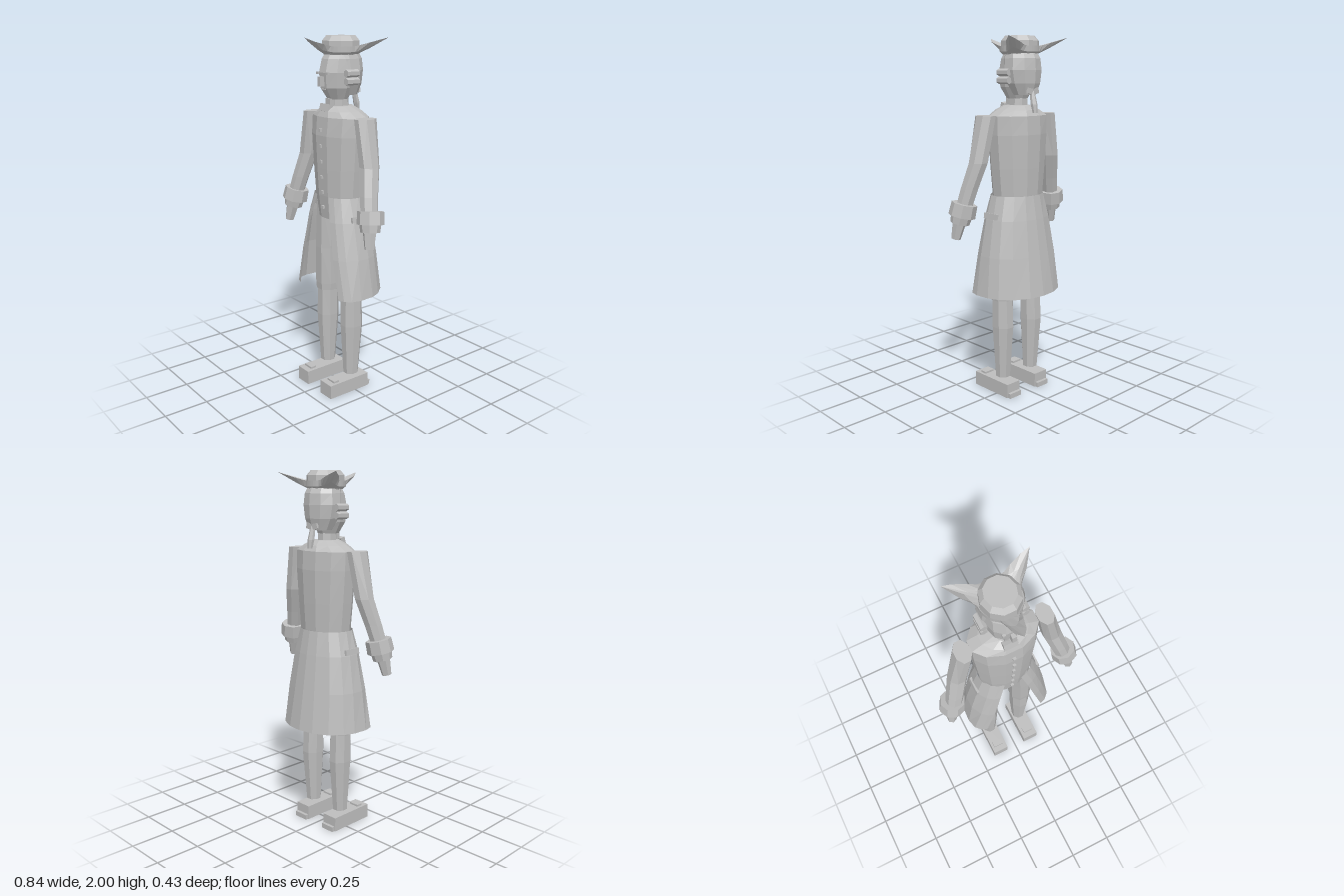
import * as THREE from 'three';

const grey = new THREE.MeshStandardMaterial({ color: 0xbdbdbd, flatShading: true, side: THREE.DoubleSide });
grey.name = 'plain grey';

function add(parent, name, geometry, x = 0, y = 0, z = 0) {
  const mesh = new THREE.Mesh(geometry, grey);
  mesh.name = name;
  mesh.position.set(x, y, z);
  parent.add(mesh);
  return mesh;
}

const box = (parent, name, w, h, d, x, y, z) => add(parent, name, new THREE.BoxGeometry(w, h, d), x, y, z);

// Skin a list of point rings, ordered bottom to top
function skin(rings, closed = true, caps = true) {
  const out = [], n = rings[0].length, m = closed ? n : n - 1;
  const tri = (a, b, c) => out.push(...a, ...b, ...c);
  for (let i = 0; i < rings.length - 1; i++) {
    for (let j = 0; j < m; j++) {
      const k = (j + 1) % n, lo = rings[i], hi = rings[i + 1];
      tri(lo[j], lo[k], hi[k]);
      tri(lo[j], hi[k], hi[j]);
    }
  }
  if (closed && caps) {
    const bottom = rings[0], top = rings[rings.length - 1];
    const mid = (r) => [0, 1, 2].map((a) => r.reduce((s, p) => s + p[a], 0) / n);
    for (let j = 0; j < n; j++) {
      const k = (j + 1) % n;
      tri(mid(top), top[j], top[k]);
      tri(mid(bottom), bottom[k], bottom[j]);
    }
  }
  const g = new THREE.BufferGeometry();
  g.setAttribute('position', new THREE.Float32BufferAttribute(out, 3));
  g.computeVertexNormals();
  return g;
}

// Elliptical sections: [y, radiusX, radiusZ, centreX, centreZ]
function loft(sections, sides, turn = 0) {
  return skin(sections.map(([y, rx, rz, cx = 0, cz = 0]) =>
    Array.from({ length: sides }, (_, i) => {
      const a = ((i + turn) / sides) * Math.PI * 2;
      return [cx + rx * Math.sin(a), y, cz + rz * Math.cos(a)];
    })));
}

function buildHead() {
  const head = new THREE.Group();
  head.name = 'head';
  head.position.x = -0.008;
  add(head, 'neck', loft([[1.58, 0.055, 0.055, 0, -0.01], [1.7, 0.05, 0.05, 0, -0.01]], 8, 0.5));
  add(head, 'face', loft([
    [1.67, 0.055, 0.06, 0, 0.0], [1.73, 0.085, 0.095, 0, 0.005], [1.81, 0.095, 0.108, 0, 0.0],
    [1.88, 0.09, 0.1, 0, -0.01], [1.925, 0.075, 0.08, 0, -0.02],
  ], 10, 0.5));
  add(head, 'hair', loft([
    [1.69, 0.065, 0.06, 0, -0.055], [1.75, 0.095, 0.09, 0, -0.045], [1.82, 0.108, 0.1, 0, -0.04],
    [1.88, 0.1, 0.1, 0, -0.035], [1.925, 0.085, 0.085, 0, -0.025],
  ], 10));
  box(head, 'nose', 0.022, 0.05, 0.03, 0, 1.765, 0.11);
  box(head, 'mouth', 0.035, 0.008, 0.01, 0, 1.725, 0.094);
  for (const s of [-1, 1]) {
    box(head, 'eye', 0.018, 0.012, 0.012, s * 0.042, 1.807, 0.1);
    // Rolled side curls
    for (const y of [1.808, 1.766]) {
      const curl = add(head, 'sideCurl', new THREE.CylinderGeometry(0.02, 0.02, 0.08, 6), s * 0.108, y, -0.01);
      curl.rotation.x = Math.PI / 2;
    }
    const bow = box(head, 'ponytailBow', 0.04, 0.03, 0.012, s * 0.02, 1.71, -0.118);
    bow.rotation.z = s * 0.2;
  }
  add(head, 'ponytail', loft([[1.595, 0.014, 0.012, 0, -0.136], [1.64, 0.02, 0.017, 0, -0.128],
    [1.73, 0.013, 0.012, 0, -0.108]], 6));
  return head;
}

// Three-cornered hat: faceted crown with a brim pinched into points
function buildHat() {
  const hat = new THREE.Group();
  hat.name = 'hat';
  hat.position.set(-0.008, 0, -0.02);
  add(hat, 'hatCrown', loft([[1.9, 0.092, 0.095], [1.915, 0.1, 0.105], [1.972, 0.1, 0.105], [1.998, 0.078, 0.082]], 10, 0.5));
  const tips = [0, 2.15, -2.15];
  const inner = [], middle = [], rim = [];
  const N = 42;
  const angles = Array.from({ length: N }, (_, i) => (i / N) * Math.PI * 2 - Math.PI);
  // Snap the nearest rim step onto each point
  for (const t of tips) {
    let best = 0;
    angles.forEach((a, i) => { if (Math.abs(a - t) < Math.abs(angles[best] - t)) best = i; });
    angles[best] = t;
  }
  for (const a of angles) {
    const d = Math.min(...tips.map((t) => Math.abs(a - t)));
    const k = Math.max(0, 1 - d / 0.5) ** 1.6;
    const reach = a === 0 ? 0.123 : 0.152;
    const at = (r, y) => [r * Math.sin(a), y, r * Math.cos(a)];
    inner.push(at(0.092, 1.903));
    middle.push(at(0.108 + 0.35 * reach * k, 1.915 + 0.02 * k));
    rim.push(at(0.11 + reach * k, 1.945 + 0.045 * k));
  }
  add(hat, 'hatBrim', skin([inner, middle, rim], true, false));
  return hat;
}

function buildCoat() {
  const coat = new THREE.Group();
  coat.name = 'coat';
  add(coat, 'coatBody', loft([
    [1.02, 0.135, 0.105, 0, -0.008], [1.15, 0.155, 0.12, 0, -0.01], [1.3, 0.17, 0.127, 0, -0.01],
    [1.48, 0.185, 0.133, 0, -0.01], [1.58, 0.188, 0.125, 0, -0.012],
    [1.61, 0.13, 0.108, 0, -0.008], [1.635, 0.065, 0.075, 0, -0.005],
  ], 12, 0.5));
  const cravat = box(coat, 'cravat', 0.075, 0.04, 0.03, -0.008, 1.625, 0.08);
  cravat.rotation.x = -0.3;
  box(coat, 'cravatKnot', 0.04, 0.05, 0.025, -0.008, 1.65, 0.055);
  for (let i = 0; i < 6; i++) box(coat, 'button', 0.017, 0.017, 0.02, -0.003, 1.085 + i * 0.085, 0.103 + Math.min(i, 4) * 0.004);

  // Flared skirt, open at the front; half outlines run from front edge to back middle
  const outline = (half, y) => {
    const right = half.map(([x, z]) => [x, y, z]);
    const left = half.slice(0, -1).reverse().map(([x, z]) => [-x, y, z]);
    return [...right, ...left];
  };
  const hem = [[0.18, 0.142], [0.215, 0.13], [0.245, 0.1], [0.26, 0.045], [0.255, -0.04], [0.23, -0.1], [0.175, -0.165], [0.09, -0.205], [0, -0.218]];
  const waist = [[0.05, 0.11], [0.085, 0.1], [0.12, 0.078], [0.15, 0.04], [0.158, -0.01], [0.145, -0.06], [0.11, -0.1], [0.055, -0.127], [0, -0.134]];
  const level = (t, y) => outline(waist.map(([x, z], i) => {
    const bulge = 0.012 * Math.sin(Math.PI * t);
    return [x + (hem[i][0] - x) * t + (i > 2 && i < 7 ? bulge : 0), z + (hem[i][1] - z) * t + (i < 3 ? bulge : 0)];
  }), y);
  add(coat, 'coatSkirt', skin([level(1, 0.6), level(0.62, 0.82), level(0.27, 1.02), level(0, 1.15)], false));
  for (const s of [-1, 1]) {
    const flap = box(coat, 'pocketFlap', 0.014, 0.032, 0.1, s * 0.186, 1.04, 0.005);
    flap.rotation.z = s * 0.15;
  }
  return coat;
}

function buildArm(side) {
  const arm = new THREE.Group();
  arm.name = side > 0 ? 'leftArm' : 'rightArm';
  add(arm, 'sleeve', loft([
    [1.09, 0.046, 0.046, 0.335, 0.06], [1.2, 0.05, 0.05, 0.307, 0.04], [1.34, 0.053, 0.055, 0.27, 0.008],
    [1.585, 0.045, 0.066, 0.224, 0.0],
  ], 8, 0.5));
  const cuff = add(arm, 'cuff', new THREE.CylinderGeometry(0.07, 0.073, 0.07, 8), 0.34, 1.09, 0.055);
  const wrist = add(arm, 'cuffFrill', new THREE.CylinderGeometry(0.057, 0.052, 0.04, 8), 0.35, 1.036, 0.065);
  const hand = add(arm, 'hand', new THREE.CylinderGeometry(0.038, 0.026, 0.1, 6), 0.36, 0.98, 0.078);
  for (const part of [cuff, wrist, hand]) part.rotation.set(-0.15, 0, 0.17);
  arm.scale.x = side;
  return arm;
}

function buildLeg(side) {
  const leg = new THREE.Group();
  leg.name = side > 0 ? 'leftLeg' : 'rightLeg';
  add(leg, 'breeches', loft([
    [0.56, 0.066, 0.066, 0.109, -0.003], [0.6, 0.07, 0.07, 0.109, -0.003], [0.82, 0.067, 0.075, 0.1, 0], [1.1, 0.06, 0.08, 0.08, 0],
  ], 8, 0.5));
  add(leg, 'stocking', loft([
    [0.1, 0.042, 0.044, 0.109, -0.003], [0.4, 0.06, 0.066, 0.111, -0.006], [0.58, 0.06, 0.06, 0.109, -0.003],
  ], 8, 0.5));
  // Blocky buckled shoe
  box(leg, 'shoe', 0.097, 0.08, 0.272, 0.11, 0.04, 0.044);
  box(leg, 'shoeBuckle', 0.062, 0.012, 0.035, 0.112, 0.085, 0.127);
  box(leg, 'shoeHeel', 0.085, 0.028, 0.03, 0.11, 0.014, -0.095);
  leg.scale.x = side;
  return leg;
}

export function createModel() {
  const figure = new THREE.Group();
  figure.name = 'figure';
  figure.add(buildHead(), buildHat(), buildCoat());
  for (const side of [-1, 1]) figure.add(buildArm(side), buildLeg(side));
  return figure;
}
